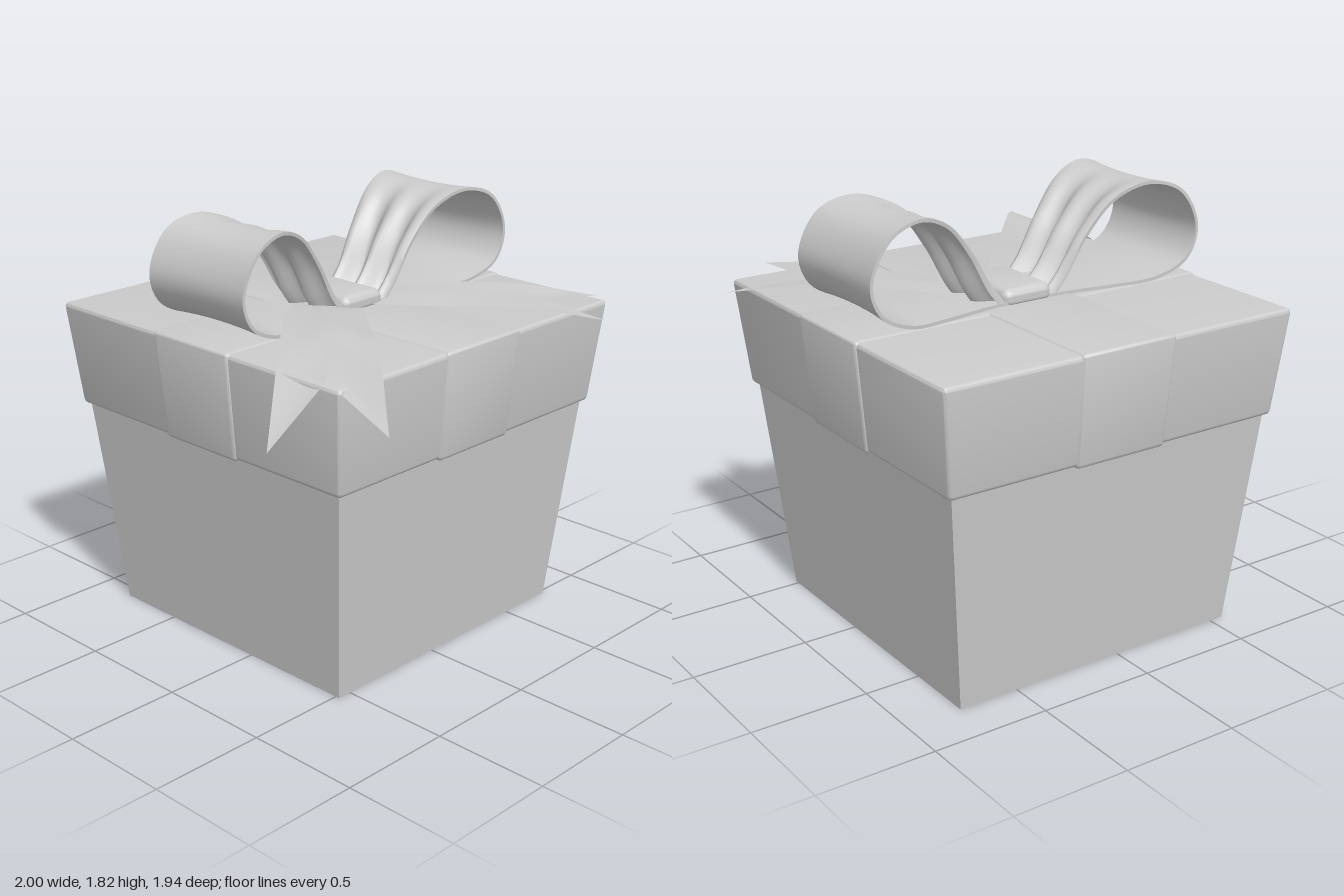
import * as THREE from 'three';
import { toCreasedNormals } from 'three/addons/utils/BufferGeometryUtils.js';
import { RoundedBoxGeometry } from 'three/addons/geometries/RoundedBoxGeometry.js';

const CX = 0.1, CZ = -0.145; // centre of the box
const material = new THREE.MeshStandardMaterial({ color: 0xcccccc });
const ribbonMaterial = new THREE.MeshStandardMaterial({ color: 0xcccccc, side: THREE.DoubleSide });

function addMesh(group, name, geometry, mat = material) {
  const mesh = new THREE.Mesh(geometry, mat);
  mesh.name = name;
  group.add(mesh);
  return mesh;
}

// Box that narrows towards the bottom; hx and hz are the half sizes at the top
function taperedBox(hx, hz, y0, y1, bottomScale, radius) {
  const h = y1 - y0;
  const geo = radius
    ? new RoundedBoxGeometry(hx * 2, h, hz * 2, 3, radius)
    : new THREE.BoxGeometry(hx * 2, h, hz * 2);
  const p = geo.attributes.position;
  for (let i = 0; i < p.count; i++) {
    const s = THREE.MathUtils.lerp(bottomScale, 1, p.getY(i) / h + 0.5);
    p.setXYZ(i, p.getX(i) * s, p.getY(i), p.getZ(i) * s);
  }
  geo.translate(CX, (y0 + y1) / 2, CZ);
  if (radius) return toCreasedNormals(geo, 0.7);
  geo.computeVertexNormals();
  return geo;
}

// Surface through the points at(i, j) of a grid
function gridSurface(nu, nv, at) {
  const pos = [], index = [];
  for (let i = 0; i <= nu; i++) {
    for (let j = 0; j <= nv; j++) {
      pos.push(...at(i, j).toArray());
      if (i < nu && j < nv) {
        const a = i * (nv + 1) + j, b = a + nv + 1;
        index.push(a, b, a + 1, b, b + 1, a + 1);
      }
    }
  }
  const geo = new THREE.BufferGeometry();
  geo.setAttribute('position', new THREE.Float32BufferAttribute(pos, 3));
  geo.setIndex(index);
  geo.computeVertexNormals();
  return geo;
}

const curve = (points) => new THREE.CatmullRomCurve3(points.map((p) => new THREE.Vector3(...p)));

// Teardrop bow loop with pleats gathered at the knot; side is 1 or -1
function bowLoop(side) {
  const path = curve([
    [0.09, 1.4], [0.16, 1.48], [0.26, 1.64], [0.39, 1.775], [0.55, 1.825], [0.7, 1.775],
    [0.787, 1.61], [0.74, 1.48], [0.6, 1.41], [0.4, 1.393], [0.09, 1.39],
  ].map(([x, y]) => [x, y, 0]));
  const nu = 64, nv = 24, thickness = 0.014;
  const { smoothstep } = THREE.MathUtils;
  return toCreasedNormals(gridSurface(nu, nv * 2 + 2, (i, j) => {
    const u = i / nu;
    const p = path.getPointAt(u), t = path.getTangentAt(u);
    // The section runs across the outside, then back along the inside
    const inner = j > nv && j < nv * 2 + 2;
    const k = j <= nv ? j : j === nv * 2 + 2 ? 0 : nv * 2 + 1 - j;
    const s = (k / nv) * 2 - 1;
    const halfWidth = 0.165 + 0.11 * smoothstep(p.x, 0.1, 0.78);
    const gather = u < 0.5 ? 1 - smoothstep(p.x, 0.12, 0.58) : 0;
    const pleat = 0.035 * gather * (1 - Math.cos((Math.PI * s) / 0.42));
    const sag = 0.014 * (1 - s * s) * Math.sin(Math.PI * u);
    const d = pleat + sag + (inner ? thickness : 0);
    return new THREE.Vector3(
      CX + side * (p.x + t.y * d),
      Math.max(p.y - t.x * d, 1.385),
      CZ + s * halfWidth,
    );
  }), 0.8);
}

// Ribbon tail spanned between outer edge, middle line and inner edge; the short middle makes the notch
function tail(outer, middle, inner) {
  const lines = [outer, middle, inner].map(curve);
  const nu = 28, nv = 8;
  return gridSurface(nu, nv, (i, j) => {
    const pts = lines.map((l) => l.getPoint(i / nu));
    const v = (j / nv) * 2;
    return v <= 1 ? pts[0].lerp(pts[1], v) : pts[1].lerp(pts[2], v - 1);
  });
}

export function createModel() {
  const model = new THREE.Group();
  model.name = 'giftBox';

  // Box and lid
  addMesh(model, 'boxBody', taperedBox(0.755, 0.755, 0, 0.98, 0.878));
  addMesh(model, 'lid', taperedBox(0.82, 0.82, 0.932, 1.385, 0.945, 0.02));

  // Crossed bands wrapped around the lid
  addMesh(model, 'bandFrontToBack', taperedBox(0.222, 0.828, 0.924, 1.392, 0.945, 0.018));
  addMesh(model, 'bandLeftToRight', taperedBox(0.828, 0.222, 0.926, 1.39, 0.945, 0.018));

  // Bow
  const bow = new THREE.Group();
  bow.name = 'bow';
  model.add(bow);
  addMesh(bow, 'leftLoop', bowLoop(1), ribbonMaterial);
  addMesh(bow, 'rightLoop', bowLoop(-1), ribbonMaterial);

  // Knot, a cushion slightly pinched at its middle
  const knotGeo = new RoundedBoxGeometry(0.24, 0.085, 0.345, 6, 0.04);
  const p = knotGeo.attributes.position;
  for (let i = 0; i < p.count; i++) {
    const r = p.getZ(i) / 0.1725;
    p.setX(i, p.getX(i) * (0.94 + 0.06 * r * r));
  }
  knotGeo.computeVertexNormals();
  addMesh(bow, 'knot', toCreasedNormals(knotGeo, 0.9)).position.set(0.097, 1.413, CZ);

  // Swallow-cut tails
  addMesh(bow, 'rightTail', tail(
    [[0.0, 1.395, -0.2], [-0.3, 1.455, -0.03], [-0.62, 1.425, 0.255], [-1, 1.2, 0.585]],
    [[0.05, 1.395, -0.1], [-0.22, 1.46, 0.14], [-0.46, 1.48, 0.36], [-0.68, 1.39, 0.57]],
    [[0.09, 1.395, 0.02], [-0.2, 1.44, 0.34], [-0.49, 1.475, 0.66], [-0.77, 1.3, 0.968]],
  ), ribbonMaterial);
  addMesh(bow, 'leftTail', tail(
    [[0.25, 1.395, -0.2], [0.5, 1.425, 0.045], [0.75, 1.42, 0.305], [1, 1.365, 0.565]],
    [[0.17, 1.395, -0.1], [0.38, 1.42, 0.13], [0.54, 1.42, 0.32], [0.68, 1.405, 0.495]],
    [[0.1, 1.395, -0.04], [0.31, 1.405, 0.28], [0.5, 1.415, 0.565], [0.683, 1.38, 0.838]],
  ), ribbonMaterial);

  return model;
}
